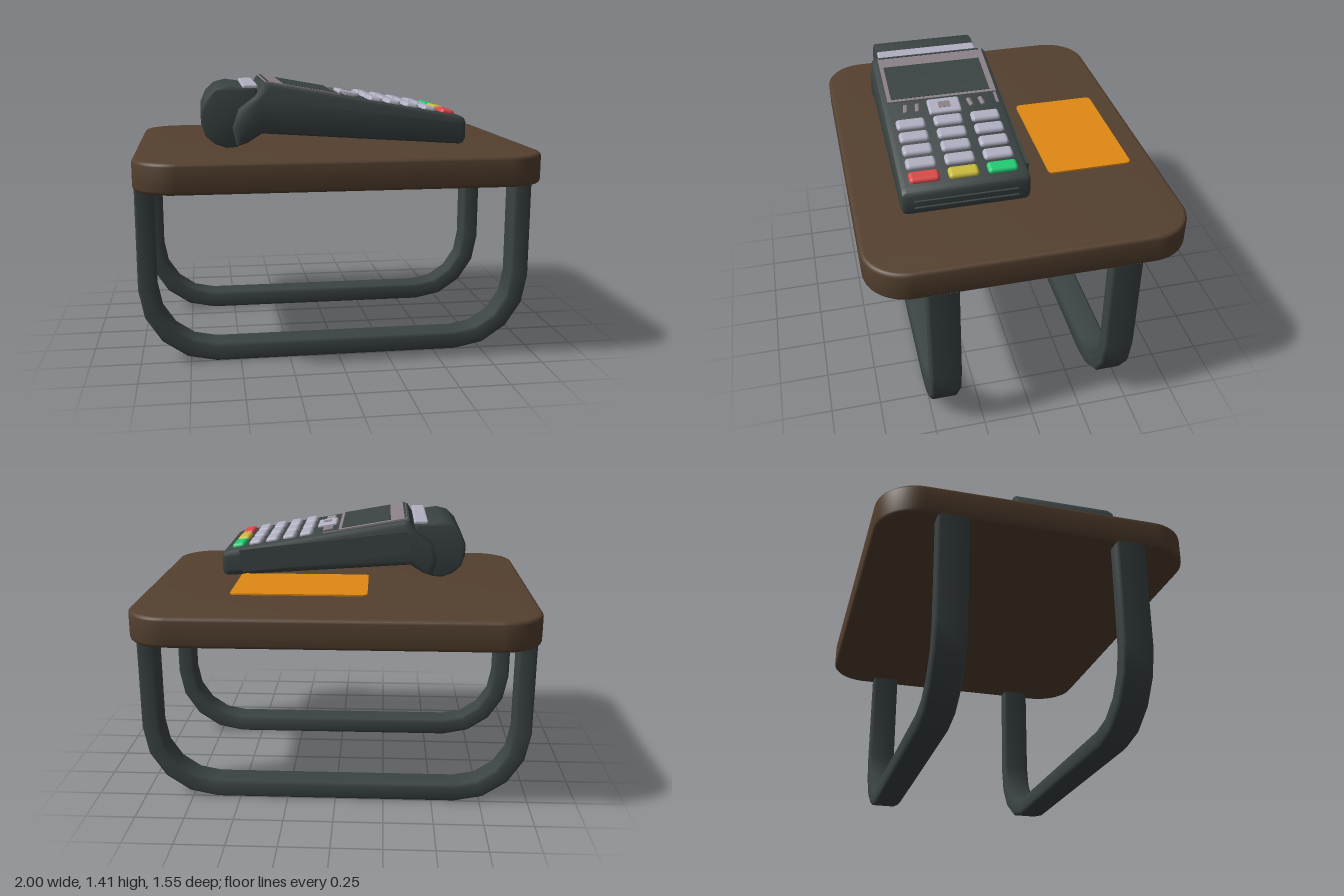
import * as THREE from 'three';
import { toCreasedNormals } from 'three/addons/utils/BufferGeometryUtils.js';
import { RoundedBoxGeometry } from 'three/addons/geometries/RoundedBoxGeometry.js';

const mat = (name, color) => {
  const m = new THREE.MeshStandardMaterial({ color });
  m.name = name;
  return m;
};

function roundedRect(w, d, r) {
  const x = w / 2, y = d / 2, s = new THREE.Shape();
  s.absarc(x - r, y - r, r, 0, Math.PI / 2);
  s.absarc(-x + r, y - r, r, Math.PI / 2, Math.PI);
  s.absarc(-x + r, -y + r, r, Math.PI, Math.PI * 1.5);
  s.absarc(x - r, -y + r, r, Math.PI * 1.5, Math.PI * 2);
  return s;
}

// Extrusion whose bevel stays inside the given outline and depth
function solid(shape, depth, bevel, segments = 2) {
  const g = new THREE.ExtrudeGeometry(shape, {
    depth: depth - 2 * bevel, bevelEnabled: bevel > 0, bevelSize: bevel, bevelThickness: bevel,
    bevelOffset: -bevel, bevelSegments: segments, curveSegments: 8,
  });
  g.translate(0, 0, -(depth - 2 * bevel) / 2);
  return toCreasedNormals(g, 0.75);
}

const outline = (pts) => new THREE.Shape(pts.map(([x, y]) => new THREE.Vector2(x, y)));

// Flat bar bent into a U, swept from one end to the other
function legGeometry() {
  const path = [[-0.955, 0.91]];
  for (let i = 0; i <= 4; i++) {
    const a = (i / 4) * Math.PI / 2;
    path.push([-0.62 - 0.335 * Math.cos(a), 0.38 - 0.34 * Math.sin(a)]);
  }
  path.push(...path.map(([x, y]) => [-x, y]).reverse());
  const w = 0.045, d = 0.075, c = 0.014;
  const ring = [[w, -d + c], [w, d - c], [w - c, d], [-w + c, d], [-w, d - c], [-w, -d + c], [-w + c, -d], [w - c, -d]];
  const pos = [], idx = [], n = ring.length;
  path.forEach(([x, y], i) => {
    const p = path[Math.max(i - 1, 0)], q = path[Math.min(i + 1, path.length - 1)];
    const len = Math.hypot(q[0] - p[0], q[1] - p[1]);
    const nx = -(q[1] - p[1]) / len, ny = (q[0] - p[0]) / len;
    ring.forEach(([u, v]) => pos.push(x + nx * u, y + ny * u, v));
    if (i === path.length - 1) return;
    for (let j = 0; j < n; j++) {
      const a = i * n + j, b = i * n + (j + 1) % n;
      idx.push(a, b, a + n, b, b + n, a + n);
    }
  });
  const g = new THREE.BufferGeometry();
  g.setAttribute('position', new THREE.Float32BufferAttribute(pos, 3));
  g.setIndex(idx);
  g.computeVertexNormals();
  return g;
}

export function createModel() {
  const wood = mat('dark wood', 0x54402f), charcoal = mat('charcoal', 0x3b4343);
  const orange = mat('orange', 0xe08a12), lilac = mat('pale lilac grey', 0xb0b0c2);
  const mauve = mat('mauve grey', 0x8a8288), green = mat('green', 0x20cc74);
  const yellow = mat('yellow', 0xcabb3a), red = mat('red', 0xdc4848);

  const model = new THREE.Group();
  const add = (parent, name, geo, material, x = 0, y = 0, z = 0) => {
    const m = new THREE.Mesh(geo, material);
    m.name = name;
    m.position.set(x, y, z);
    parent.add(m);
    return m;
  };

  // Table
  const table = new THREE.Group();
  table.name = 'table';
  model.add(table);
  add(table, 'tableTop', solid(roundedRect(2, 1.55, 0.21), 0.15, 0.018, 3).rotateX(-Math.PI / 2), wood, 0, 0.975, 0);
  const leg = legGeometry();
  for (const z of [-0.435, 0.435]) add(table, 'leg', leg, charcoal, 0, 0, z);

  // Payment card hovering above the table
  add(model, 'card', solid(roundedRect(0.66, 0.42, 0.025), 0.008, 0).rotateX(-Math.PI / 2), orange, 0.17, 1.125, -0.4);

  // Card terminal
  const terminal = new THREE.Group();
  terminal.name = 'terminal';
  terminal.position.z = 0.245;
  model.add(terminal);
  const body = outline([[-0.37, 1.393], [-0.34, 1.39], [0.6, 1.222], [0.622, 1.21], [0.63, 1.19], [0.63, 1.11],
    [0.62, 1.09], [0.6, 1.083], [-0.38, 1.15], [-0.45, 1.105], [-0.5, 1.09], [-0.52, 1.18], [-0.49, 1.27], [-0.41, 1.33]]);
  add(terminal, 'terminalBody', solid(body, 0.62, 0.028), charcoal);
  const cover = outline([[-0.4, 1.368], [-0.47, 1.37], [-0.54, 1.38], [-0.6, 1.365], [-0.645, 1.32], [-0.67, 1.26],
    [-0.67, 1.2], [-0.65, 1.14], [-0.605, 1.1], [-0.55, 1.08], [-0.5, 1.083], [-0.4, 1.15]]);
  add(terminal, 'rollCover', solid(cover, 0.54, 0.012), charcoal);
  add(terminal, 'paperStrip', new RoundedBoxGeometry(0.075, 0.024, 0.53, 2, 0.01), lilac, -0.432, 1.372, 0);
  add(terminal, 'sideRail', new THREE.BoxGeometry(0.9, 0.12, 0.012), charcoal, 0.08, 1.22, -0.313).rotation.z = -0.12;

  // Card slot in the end face
  for (const y of [1.125, 1.16]) {
    add(terminal, 'slotLip', new RoundedBoxGeometry(0.014, 0.012, 0.5, 2, 0.005), charcoal, 0.63, y, 0);
  }

  // Sloping face, with x along the slope and y out of it
  const face = new THREE.Group();
  face.name = 'face';
  face.position.set(0, 1.329, 0);
  face.rotation.z = -0.177;
  terminal.add(face);
  add(face, 'screenFrame', new THREE.BoxGeometry(0.37, 0.009, 0.56), mauve, -0.18, 0.003, -0.005);
  add(face, 'screen', new THREE.BoxGeometry(0.265, 0.006, 0.51), charcoal, -0.145, 0.006, 0);
  add(face, 'frameGroove', new THREE.BoxGeometry(0.012, 0.006, 0.54), charcoal, -0.357, 0.006, 0);

  // Number keys and coloured command keys
  const key = new RoundedBoxGeometry(0.07, 0.04, 0.145, 3, 0.018);
  const commands = [green, yellow, red], commandNames = ['greenKey', 'yellowKey', 'redKey'];
  for (let row = 0; row < 3; row++) {
    const z = (row - 1) * 0.187;
    for (let col = 0; col < 5; col++) {
      const last = col === 4;
      add(face, last ? commandNames[row] : 'numberKey', key, last ? commands[row] : lilac, 0.183 + col * 0.0925, 0, z);
    }
  }

  // Menu key and small function keys
  add(face, 'menuKey', new RoundedBoxGeometry(0.11, 0.03, 0.165, 2, 0.012), lilac, 0.075, 0.002, 0);
  add(face, 'menuKeyInset', new THREE.BoxGeometry(0.045, 0.005, 0.06), mauve, 0.075, 0.016, 0);
  const small = new RoundedBoxGeometry(0.06, 0.02, 0.024, 2, 0.009);
  for (const side of [-1, 1]) {
    for (const z of [0.135, 0.195]) add(face, 'functionKey', small, mauve, 0.065, 0.002, side * z).rotation.y = side * -0.15;
  }
  add(face, 'indicator', new THREE.BoxGeometry(0.08, 0.006, 0.014), mauve, 0.05, 0.001, -0.274);

  return model;
}
